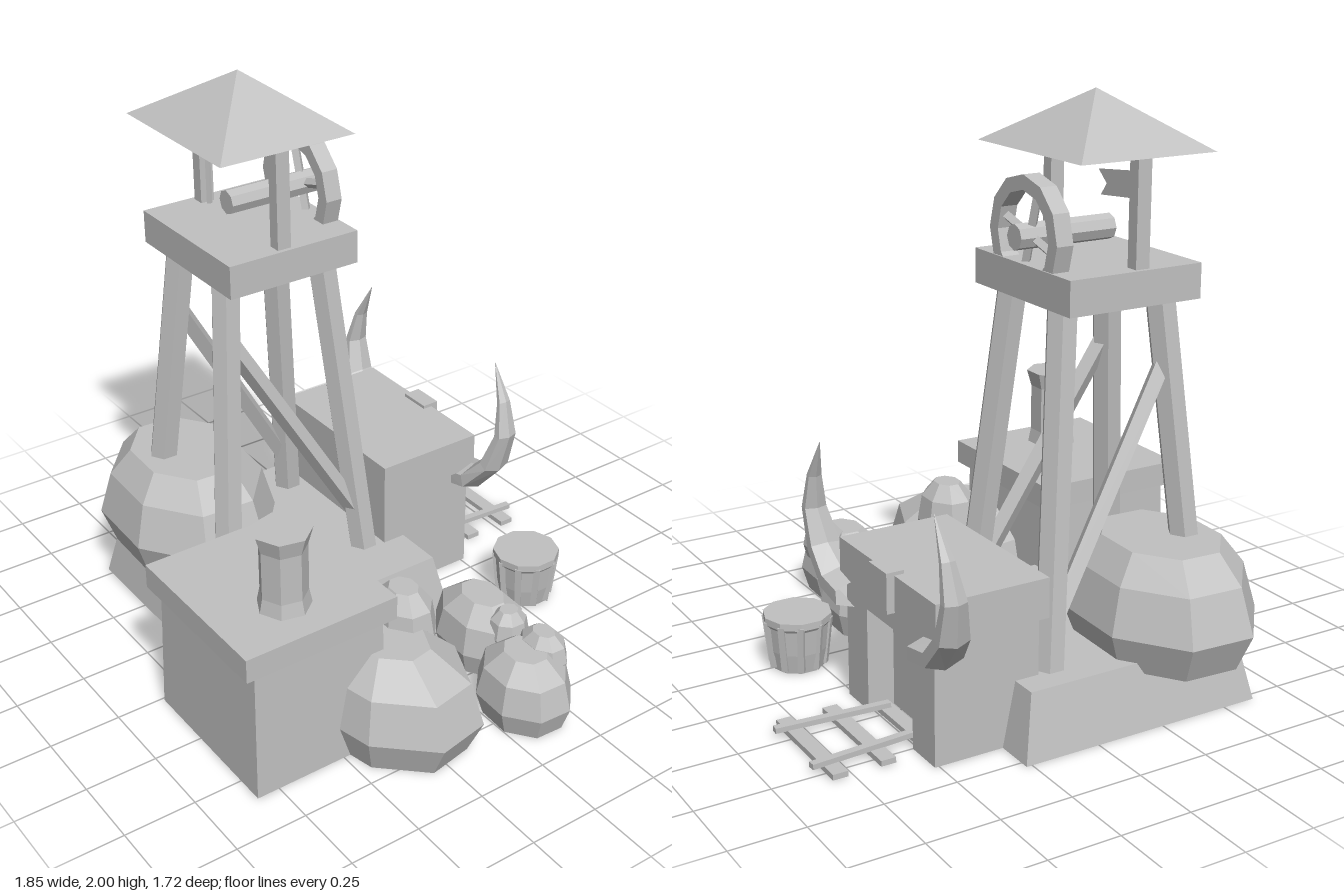
import * as THREE from 'three';

export function createModel() {
  const model = new THREE.Group();
  model.name = 'mineHeadframe';
  const stone = new THREE.MeshStandardMaterial({ color: 0xc0c0c0, flatShading: true, side: THREE.DoubleSide });
  stone.name = 'plainGrey';

  const V = (x, y, z) => new THREE.Vector3(x, y, z);
  const add = (name, geo, x = 0, y = 0, z = 0) => {
    const m = new THREE.Mesh(geo, stone);
    m.name = name;
    m.position.set(x, y, z);
    model.add(m);
    return m;
  };
  // box given by its minimum and maximum on each axis
  const box = (name, x0, x1, y0, y1, z0, z1) =>
    add(name, new THREE.BoxGeometry(x1 - x0, y1 - y0, z1 - z0), (x0 + x1) / 2, (y0 + y1) / 2, (z0 + z1) / 2);
  // tapered block without a bottom face
  const block = (name, x0, x1, h, z0, z1, taper) => {
    const g = new THREE.BoxGeometry(x1 - x0, h, z1 - z0);
    const p = g.attributes.position;
    for (let i = 0; i < p.count; i++)
      if (p.getY(i) > 0) p.setXYZ(i, p.getX(i) * taper, p.getY(i), p.getZ(i) * taper);
    g.setIndex(Array.from(g.index.array).filter((v, i) => i < 18 || i >= 24));
    g.computeVertexNormals();
    return add(name, g, (x0 + x1) / 2, h / 2, (z0 + z1) / 2);
  };
  // straight bar between two points
  const beam = (name, a, b, r, sides = 6) => {
    const m = add(name, new THREE.CylinderGeometry(r, r, a.distanceTo(b), sides));
    m.position.copy(a).add(b).multiplyScalar(0.5);
    m.quaternion.setFromUnitVectors(V(0, 1, 0), b.clone().sub(a).normalize());
    return m;
  };
  const lathe = (pts, sides) => new THREE.LatheGeometry(pts.map(p => new THREE.Vector2(p[0], p[1])), sides);
  // faceted boulder: centre, base height, height, radii, yaw
  const rock = (x, z, y, h, rx, rz, yaw = 0, top = 0.45, sides = 8) => {
    const g = lathe([[0, 0], [0.84, 0], [1, 0.34], [0.86, 0.75], [top, 1], [0, 1]], sides);
    g.rotateY(0.35);
    g.scale(rx, h, rz);
    add('boulder', g, x, y, z).rotation.y = yaw;
  };

  // foundation
  block('foundation', -0.78, 0.165, 0.22, -0.27, 0.62, 0.9);

  // hut with slab roof and chimney
  block('hutWalls', 0.01, 0.6, 0.475, 0.33, 0.83, 0.96);
  box('hutRoof', 0, 0.61, 0.475, 0.56, 0.3, 0.86);
  add('chimney', lathe([[0, 0], [0.09, 0], [0.08, 0.05], [0.08, 0.22], [0.097, 0.28], [0, 0.28]], 7), 0.435, 0.56, 0.61);

  // tower legs and side braces
  const cx = -0.36, cz = 0.205;
  const legAt = (sx, sz, y) => {
    const t = (y - 0.22) / 1.14;
    return V(cx + sx * (0.25 - 0.105 * t), y, cz + sz * (0.285 - 0.1 * t));
  };
  for (const sx of [-1, 1]) {
    for (const sz of [-1, 1]) beam('towerLeg', legAt(sx, sz, 0.1), legAt(sx, sz, 1.38), 0.052);
    beam('towerBrace', legAt(sx, 1, 1.16), legAt(sx, -1, 0.34), 0.033, 4);
    box('roofPost', cx + sx * 0.238 - 0.022, cx + sx * 0.238 + 0.022, 1.47, 1.83, 0.21, 0.26);
  }
  box('towerPlatform', -0.635, -0.085, 1.36, 1.475, -0.04, 0.45);

  // pyramid roof
  const roof = new THREE.ConeGeometry(Math.SQRT2, 0.18, 4);
  roof.rotateY(Math.PI / 4);
  roof.scale(0.293, 1, 0.25);
  add('towerRoof', roof, cx, 1.91, 0.23);

  // winding wheel with axle and spokes
  const rim = lathe([[0.145, -0.03], [0.193, -0.03], [0.193, 0.03], [0.145, 0.03], [0.145, -0.03]], 12);
  rim.rotateX(Math.PI / 2);
  add('wheelRim', rim, cx, 1.56, -0.005);
  beam('wheelAxle', V(cx, 1.56, 0.29), V(cx, 1.56, -0.065), 0.042, 8);
  for (let i = 0; i < 4; i++) {
    const a = 0.28 + i * Math.PI / 2;
    beam('wheelSpoke', V(cx, 1.56, -0.005), V(cx + 0.155 * Math.cos(a), 1.56 + 0.155 * Math.sin(a), -0.005), 0.017, 4);
  }

  // small pennant beside the left post
  beam('pennantPole', V(-0.565, 1.47, 0.235), V(-0.565, 1.8, 0.235), 0.01, 5);
  const flag = new THREE.Shape([[-0.56, 1.77], [-0.375, 1.75], [-0.42, 1.71], [-0.39, 1.67], [-0.56, 1.685]]
    .map(p => new THREE.Vector2(p[0], p[1])));
  add('pennant', new THREE.ShapeGeometry(flag), 0, 0, 0.235);

  // mine entrance: pillars, lintel, recessed wall, slab and keystone
  const ex = -0.35;
  for (const s of [-1, 1]) box('entrancePillar', ex + s * 0.22 - 0.07, ex + s * 0.22 + 0.07, 0, 0.42, -0.515, -0.14);
  box('entranceLintel', ex - 0.15, ex + 0.15, 0.36, 0.42, -0.515, -0.14);
  box('entranceInnerWall', ex - 0.15, ex + 0.15, 0, 0.36, -0.42, -0.41);
  box('entranceBackWall', ex - 0.15, ex + 0.15, 0, 0.36, -0.15, -0.14);
  box('entranceSlab', -0.667, -0.033, 0.42, 0.555, -0.525, -0.12);
  box('keystone', -0.41, -0.293, 0.43, 0.567, -0.553, -0.49);

  // tusks: flattened hexagonal sections swept along a bent line
  const path = [[0.24, 0.38, -0.51], [0.345, 0.4, -0.515], [0.425, 0.49, -0.53], [0.462, 0.62, -0.545], [0.437, 0.74, -0.553], [0.375, 0.87, -0.56]];
  const wide = [0.082, 0.078, 0.062, 0.045, 0.027, 0.001];
  const lean = [1.6, 1.3, 0.6, 0, -0.35, -0.5];
  for (const s of [-1, 1]) {
    const pos = [], idx = [];
    path.forEach(([x, y, z], i) => {
      for (let k = 0; k < 6; k++) {
        const a = k * Math.PI / 3, u = Math.cos(a) * wide[i] * 0.58;
        pos.push(ex + s * (x + u * Math.cos(lean[i])), y - u * Math.sin(lean[i]), z + Math.sin(a) * wide[i]);
        if (i) {
          const p = (i - 1) * 6 + k, q = (i - 1) * 6 + (k + 1) % 6;
          if (s < 0) idx.push(p, q, p + 6, q, q + 6, p + 6);
          else idx.push(p, p + 6, q, q, p + 6, q + 6);
        }
      }
    });
    const g = new THREE.BufferGeometry();
    g.setAttribute('position', new THREE.Float32BufferAttribute(pos, 3));
    g.setIndex(idx);
    g.computeVertexNormals();
    add('tusk', g);
  }

  // rail track
  for (const s of [-1, 1]) {
    const rail = box('rail', -0.013, 0.013, 0.02, 0.038, -0.2, 0.2);
    rail.position.set(ex + s * 0.12, 0.03, -0.66);
    rail.rotation.y = -s * 0.07;
  }
  for (const z of [-0.47, -0.63, -0.795]) {
    const w = z > -0.5 ? 0.145 : 0.205;
    box('sleeper', ex - w, ex + w, 0.003, 0.022, z - 0.026, z + 0.026);
  }

  // barrel with raised staves
  add('barrel', lathe([[0, 0], [0.09, 0], [0.104, 0.07], [0.113, 0.16], [0.12, 0.17], [0.12, 0.195], [0, 0.195]], 10), 0.24, 0, -0.56);
  for (let i = 0; i < 10; i++) {
    const a = i * Math.PI / 5, sx = Math.sin(a), sz = Math.cos(a);
    beam('barrelStave', V(0.24 + sx * 0.09, 0.01, -0.56 + sz * 0.09), V(0.24 + sx * 0.11, 0.18, -0.56 + sz * 0.11), 0.016, 4);
  }

  // boulders
  rock(-0.56, 0.385, 0.18, 0.38, 0.385, 0.3, 0, 0.62);
  rock(0.54, 0.29, 0, 0.36, 0.36, 0.25, 0.25);
  rock(0.47, 0.17, 0.24, 0.225, 0.13, 0.105);
  rock(0.42, -0.21, 0, 0.25, 0.205, 0.145);
  rock(0.75, -0.125, 0, 0.25, 0.185, 0.155);
  rock(0.555, -0.215, 0.12, 0.14, 0.07, 0.075);
  rock(0.74, -0.21, 0.15, 0.135, 0.1, 0.075);

  return model;
}
